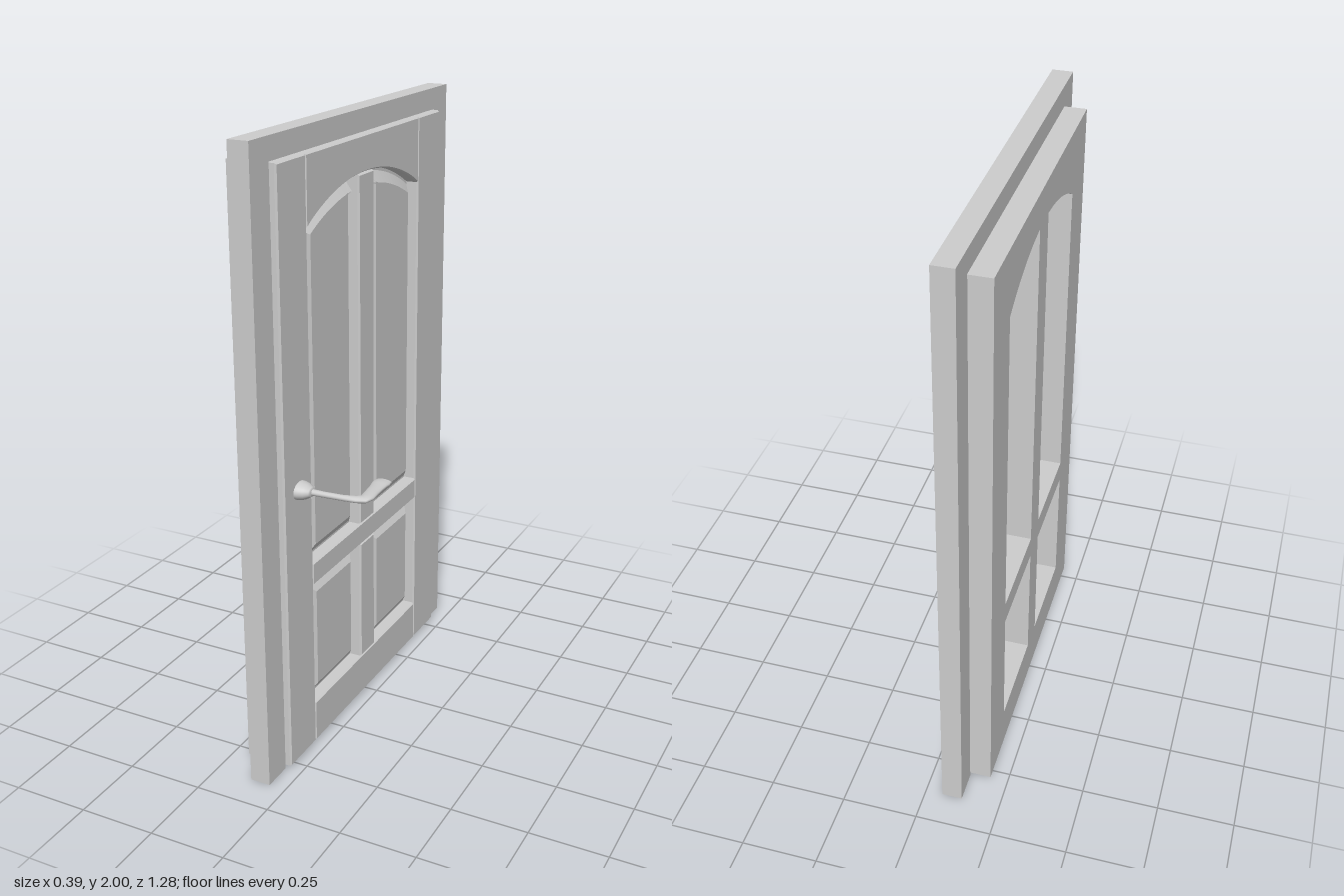
import * as THREE from 'three';

const grey = new THREE.MeshStandardMaterial({ color: 0xcccccc });
grey.name = 'light grey';

// Closed outline from corner points
const outline = (pts) => new THREE.Shape(pts.map(([u, v]) => new THREE.Vector2(u, v)));
const rect = (u0, v0, u1, v1) => outline([[u0, v0], [u1, v0], [u1, v1], [u0, v1]]);

// Points along the shallow arc shared by both upper openings
function arc(u0, u1, n) {
  const R = 0.753, top = 1.815, pts = [];
  for (let i = 0; i <= n; i++) {
    const u = u0 + (u1 - u0) * i / n;
    pts.push([u, top - R + Math.sqrt(R * R - u * u)]);
  }
  return pts;
}

// Slab facing +x between two depths; an optional bevel is kept on its front only
function slab(shape, back, front, bevelSize = 0, bevelDepth = 0, inset = 0) {
  const g = new THREE.ExtrudeGeometry(shape, {
    depth: front - back - bevelDepth, bevelEnabled: bevelSize > 0, bevelSegments: 1,
    bevelSize, bevelThickness: bevelDepth, bevelOffset: -bevelSize - inset,
  });
  const p = g.attributes.position;
  for (let i = 0; i < p.count; i++) p.setZ(i, Math.max(0, p.getZ(i)));
  g.computeVertexNormals();
  return g.rotateY(Math.PI / 2).translate(back, 0, 0);
}

// Smooth loft through oval sections [x, z, halfWidth, halfThickness] at height y
function leverGeometry(sections, y, sides = 16) {
  const pos = [], idx = [], n = sections.length;
  sections.forEach(([x, z, w, h], i) => {
    const a = sections[Math.max(i - 1, 0)], b = sections[Math.min(i + 1, n - 1)];
    const t = new THREE.Vector2(b[0] - a[0], b[1] - a[1]).normalize();
    for (let j = 0; j < sides; j++) {
      const q = j / sides * Math.PI * 2, c = Math.cos(q) * w;
      pos.push(x + t.y * c, y + Math.sin(q) * h, z - t.x * c);
      if (i === n - 1) continue;
      const k = i * sides + j, l = i * sides + (j + 1) % sides;
      idx.push(k, l, k + sides, l, l + sides, k + sides);
    }
  });
  const g = new THREE.BufferGeometry();
  g.setAttribute('position', new THREE.Float32BufferAttribute(pos, 3));
  g.setIndex(idx);
  g.computeVertexNormals();
  return g;
}

export function createModel() {
  const model = new THREE.Group();
  model.name = 'door';
  const add = (name, geometry, parent = model) => {
    const m = new THREE.Mesh(geometry, grey);
    m.name = name;
    parent.add(m);
  };

  // Surrounding frame, open at the bottom
  add('doorFrame', slab(outline([
    [-0.64, 0], [-0.54, 0], [-0.54, 1.93], [0.54, 1.93],
    [0.54, 0], [0.64, 0], [0.64, 2], [-0.64, 2],
  ]), -0.123, -0.056));

  // Leaf measures: outer edge, stile joint, mullion, rails and depths
  const W = 0.538, S = 0.375, M = 0.05, bottom = 0.012, top = 1.927;
  const low0 = 0.155, low1 = 0.58, up0 = 0.655;
  const back = -0.193, joint = -0.058, front = -0.035;

  // Four openings: two arched above, two rectangular below
  const openings = [];
  for (const [u0, u1] of [[-S, -M], [M, S]]) {
    openings.push(['upperPanel', outline([[u0, up0], [u1, up0], ...arc(u1, u0, 14)])]);
    openings.push(['lowerPanel', rect(u0, low0, u1, low1)]);
  }

  // Leaf core, fronted by chamfered boards that meet in V grooves
  const leaf = new THREE.Group();
  leaf.name = 'doorLeaf';
  model.add(leaf);
  const core = rect(-W, bottom, W, top);
  core.holes = openings.map(([, shape]) => shape);
  add('leafCore', slab(core, back, joint), leaf);
  const boards = {
    leftStile: rect(-W, bottom, -S, top),
    rightStile: rect(S, bottom, W, top),
    topRail: outline([...arc(-S, S, 28), [S, top], [-S, top]]),
    middleRail: rect(-S, low1, S, up0),
    bottomRail: rect(-S, bottom, S, low0),
    upperMullion: rect(-M, up0, M, 1.8125),
    lowerMullion: rect(-M, low0, M, low1),
  };
  for (const [name, shape] of Object.entries(boards)) {
    add(name, slab(shape, joint, front, 0.004, 0.006), leaf);
  }

  // Panels: a flat base with a raised field and wide sloping border
  for (const [name, shape] of openings) {
    add(name + 'Base', slab(shape, -0.09, -0.078), leaf);
    add(name + 'Field', slab(shape, -0.078, -0.05, 0.036, 0.024, 0.01), leaf);
  }

  // Lever handle on the front face
  const handle = new THREE.Group();
  handle.name = 'handle';
  model.add(handle);
  const dome = [[0.039, 0], [0.038, 0.012], [0.032, 0.028], [0.021, 0.042], [0.017, 0.046], [0, 0.047]];
  const rosette = new THREE.LatheGeometry(dome.map(([r, h]) => new THREE.Vector2(r, h)), 28);
  rosette.rotateZ(-Math.PI / 2).scale(1, 0.73, 1).translate(-0.037, 0.936, 0.448);
  add('rosette', rosette, handle);
  add('lever', leverGeometry([
    [-0.01, 0.446, 0.012, 0.01], [0.05, 0.446, 0.01, 0.009], [0.11, 0.442, 0.011, 0.009],
    [0.148, 0.435, 0.015, 0.01], [0.167, 0.425, 0.021, 0.01], [0.171, 0.408, 0.022, 0.01],
    [0.168, 0.375, 0.022, 0.01], [0.165, 0.34, 0.023, 0.009], [0.162, 0.31, 0.026, 0.01],
    [0.162, 0.293, 0.029, 0.01], [0.162, 0.29, 0.025, 0.008], [0.162, 0.278, 0.027, 0.008],
    [0.162, 0.274, 0.023, 0.007], [0.162, 0.2735, 0, 0],
  ], 0.936), handle);

  return model;
}
